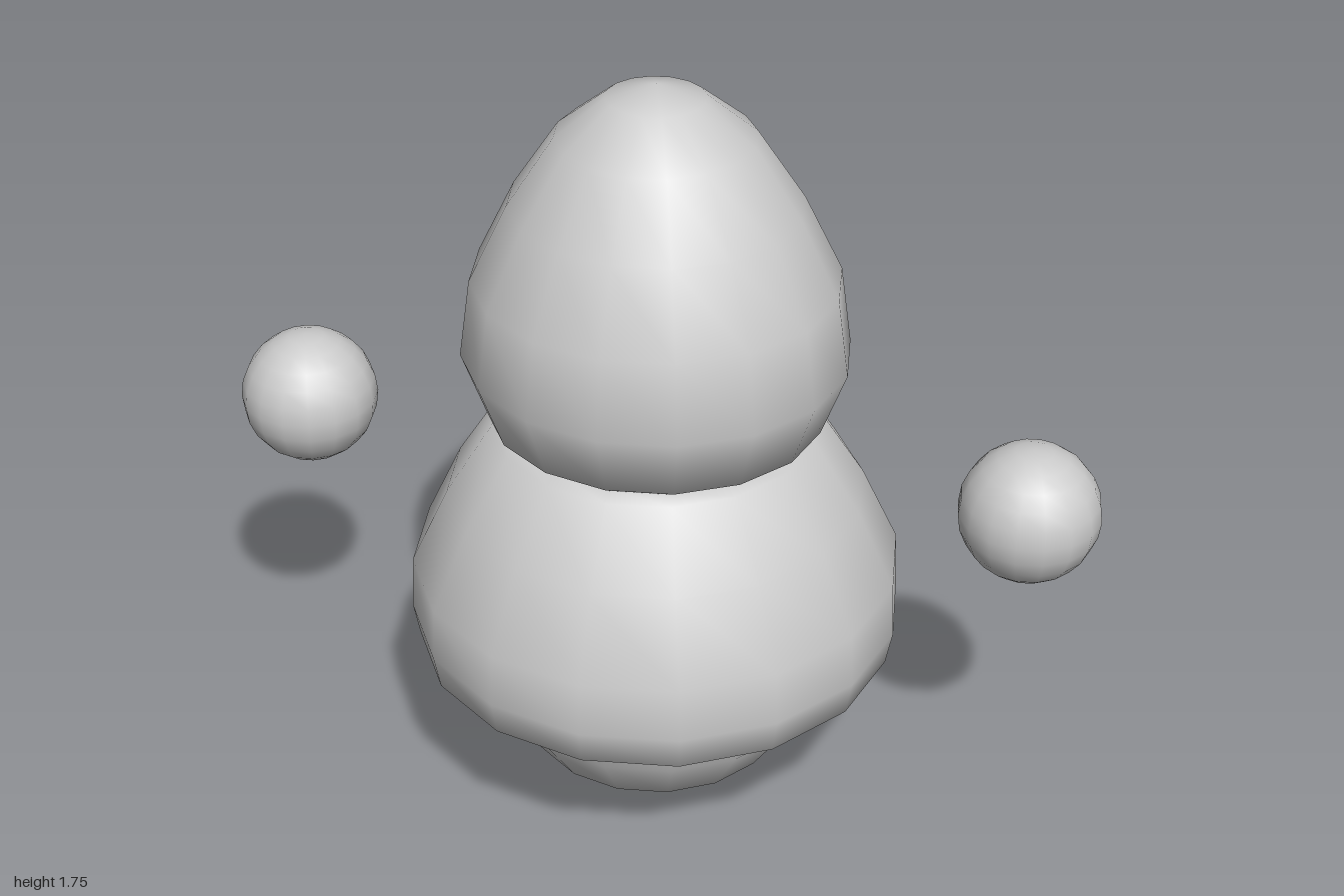
import * as THREE from 'three';
import { toCreasedNormals } from 'three/addons/utils/BufferGeometryUtils.js';

const SIDES = 16;

export function createModel() {
  const model = new THREE.Group();
  const material = new THREE.MeshStandardMaterial({ color: 0xcccccc });

  function add(name, geometry, x = 0, y = 0, z = 0) {
    const mesh = new THREE.Mesh(geometry, material);
    mesh.name = name;
    mesh.position.set(x, y, z);
    model.add(mesh);
    return mesh;
  }

  // Turned solid from [radius, height] pairs, listed bottom to top
  function turned(profile) {
    const points = profile.map(([r, y]) => new THREE.Vector2(r, y));
    return toCreasedNormals(new THREE.LatheGeometry(points, SIDES), 0.9);
  }

  // Rounded base, half hidden under the body
  const base = add('base', new THREE.SphereGeometry(0.415, SIDES, 8), 0, 0.41);
  base.scale.y = 0.405 / 0.415;

  // Bell-shaped body with a flat underside
  add('body', turned([
    [0, 0.385], [0.53, 0.385], [0.545, 0.395], [0.56, 0.475], [0.554, 0.6],
    [0.47, 0.78], [0.365, 0.945], [0.33, 0.96], [0, 0.96],
  ]), 0, 0, -0.003);

  // Egg-shaped head, slightly flattened front to back
  const head = add('head', turned([
    [0, 0.95], [0.34, 0.953], [0.375, 0.975], [0.43, 1.125], [0.405, 1.305],
    [0.32, 1.48], [0.217, 1.635], [0.108, 1.722], [0, 1.752],
  ]), 0, 0, -0.003);
  head.scale.z = 0.96;

  // Free-floating ball hands
  for (const side of [1, -1]) {
    add(side > 0 ? 'leftHand' : 'rightHand',
      new THREE.SphereGeometry(0.157, SIDES, 12), side * 0.842, 0.855, -0.013);
  }

  return model;
}
